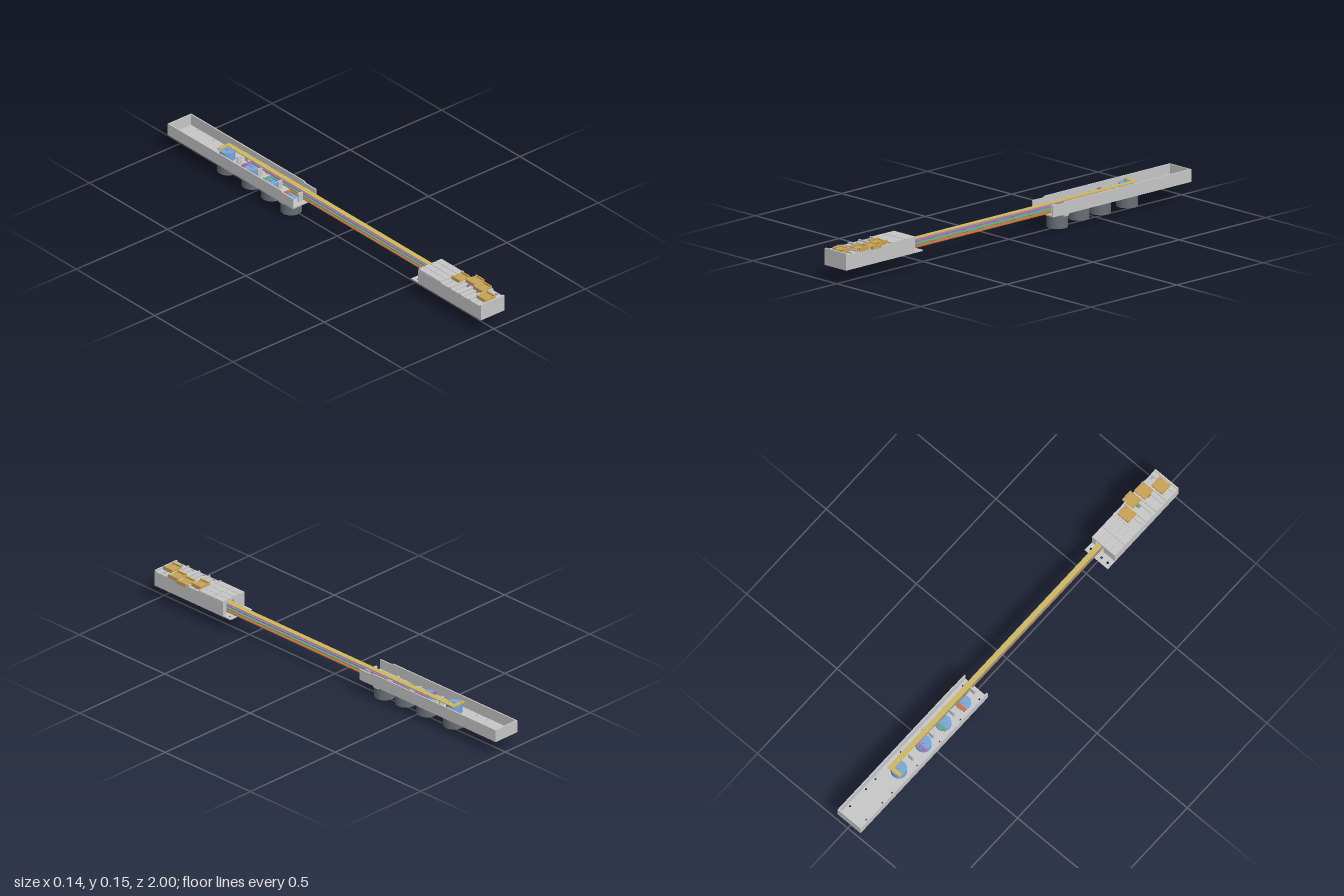
import * as THREE from 'three';

const mat = (name, color, side = THREE.FrontSide) => {
  const m = new THREE.MeshStandardMaterial({ color, side });
  m.name = name;
  return m;
};

export function createModel() {
  const root = new THREE.Group();
  root.name = 'leverMechanism';
  const grey = mat('lightGrey', 0xc6c6c6);
  const dark = mat('motorGrey', 0x686e76);
  const blue = mat('hornBlue', 0x7aa6d6);
  const gold = mat('sliderGold', 0xc9a254);
  const strips = [
    mat('stripYellow', 0xcdb75c), mat('stripPurple', 0xa070b4),
    mat('stripGreen', 0x62a880), mat('stripOrange', 0xc8703c),
  ];

  const group = (name, parent = root) => {
    const g = new THREE.Group();
    g.name = name;
    parent.add(g);
    return g;
  };
  const add = (parent, name, geo, material) => {
    const m = new THREE.Mesh(geo, material);
    m.name = name;
    parent.add(m);
    return m;
  };
  // box given by its limits along each axis
  const box = (parent, name, material, x0, x1, y0, y1, z0, z1) => {
    const m = add(parent, name, new THREE.BoxGeometry(x1 - x0, y1 - y0, z1 - z0), material);
    m.position.set((x0 + x1) / 2, (y0 + y1) / 2, (z0 + z1) / 2);
    return m;
  };
  const cyl = (parent, name, material, r, x, y0, y1, z, sides = 32) => {
    const m = add(parent, name, new THREE.CylinderGeometry(r, r, y1 - y0, sides), material);
    m.position.set(x, (y0 + y1) / 2, z);
    return m;
  };
  // flat plate with round screw holes [x, z, radius]
  const plate = (parent, name, x0, x1, y0, y1, z0, z1, holes) => {
    const s = new THREE.Shape();
    s.moveTo(x0, -z1).lineTo(x1, -z1).lineTo(x1, -z0).lineTo(x0, -z0).closePath();
    for (const [x, z, r] of holes) {
      const p = new THREE.Path();
      p.absarc(x, -z, r, 0, Math.PI * 2, true);
      s.holes.push(p);
    }
    const g = new THREE.ExtrudeGeometry(s, { depth: y1 - y0, bevelEnabled: false, curveSegments: 6 });
    g.rotateX(-Math.PI / 2).translate(0, y0, 0);
    return add(parent, name, g, grey);
  };

  const XL = -0.071, XR = 0.057, W = 0.006, B = 0.067;
  const motorZ = [-0.69, -0.535, -0.41, -0.286];
  const stripY = [0.114, 0.102, 0.089, 0.076];
  const keyZ = [0.772, 0.832, 0.894, 0.96];
  const keyX = [0.014, 0.041, 0.029, -0.009];

  // rear channel, open on top and towards the front
  const channel = group('rearChannel');
  const holes = [];
  for (const z of [-0.94, -0.84, -0.78, -0.62, -0.48, -0.35, -0.23]) {
    holes.push([-0.052, z, 0.005], [0.04, z, 0.005]);
  }
  plate(channel, 'channelFloor', XL, XR, B, B + 0.006, -1, -0.2, holes);
  box(channel, 'channelBackWall', grey, XL, XR, B + 0.006, 0.122, -1, -1 + W);
  const side = new THREE.Shape();
  side.moveTo(0.2, B + 0.006).lineTo(1 - W, B + 0.006).lineTo(1 - W, 0.122)
    .lineTo(0.275, 0.122).lineTo(0.265, 0.116).lineTo(0.2, 0.116).closePath();
  for (const x of [XL, XR - W]) {
    const g = new THREE.ExtrudeGeometry(side, { depth: W, bevelEnabled: false });
    g.rotateY(Math.PI / 2).translate(x, 0, 0);
    add(channel, 'channelSideWall', g, grey);
  }
  // guide posts beside the strips
  for (const z of [-0.615, -0.485, -0.355, -0.225]) {
    box(channel, 'guidePost', grey, -0.022, 0.002, B + 0.006, 0.112, z - 0.004, z + 0.004);
    box(channel, 'guideRail', grey, 0.029, 0.034, B + 0.006, 0.112, z - 0.012, z + 0.012);
  }

  // motors below the channel with horns and levers above it
  motorZ.forEach((z, i) => {
    const m = group('motor' + (i + 1));
    const low = i === 3;
    const y0 = low ? 0 : 0.012;
    cyl(m, 'motorBody', dark, 0.045, -0.007, y0, y0 + 0.055, z, 40);
    if (low) {
      // spacer flange with two ears
      cyl(m, 'motorSpacer', dark, 0.022, -0.007, 0.055, B, z, 24);
      for (const s of [-1, 1]) {
        box(m, 'mountEar', grey, -0.007 + s * 0.039 - 0.017, -0.007 + s * 0.039 + 0.017,
          0.055, B, z - 0.014, z + 0.014);
      }
    }
    const y = stripY[i];
    cyl(m, 'horn', blue, 0.034, -0.01, B + 0.006, Math.max(y - 0.001, B + 0.008), z, 32);
    cyl(m, 'hornHub', blue, 0.008, -0.01, y - 0.001, y + 0.006, z, 16);
    box(m, 'lever', strips[i], -0.042, 0.026, y, y + 0.004, z - 0.03, z - 0.014);
    cyl(m, 'leverPin', strips[i], 0.006, -0.03, y, y + 0.008, z - 0.022, 12);
  });

  // four stacked strips, each running from its lever to its slider
  stripY.forEach((y, i) => {
    const g = group('strip' + (i + 1));
    box(g, 'pullStrip', strips[i], 0.003, 0.026, y, y + 0.004, motorZ[i] - 0.03, keyZ[i]);
    box(g, 'stripRiser', strips[i], 0.005, 0.013, y, 0.134, keyZ[i] - 0.006, keyZ[i]);
  });

  // front housing with a tail plate towards the strips
  const housing = group('frontHousing');
  plate(housing, 'housingFloor', XL, XR, B, B + 0.005, 0.555, 1,
    [-0.052, -0.018, 0.04].map((x) => [x, 0.576, 0.006]));
  for (const x of [XL, XR - W]) {
    box(housing, 'housingSideWall', grey, x, x + W, B + 0.005, 0.133, 0.6, 1 - W);
  }
  box(housing, 'housingFrontWall', grey, XL, XR, B + 0.005, 0.133, 1 - W, 1);
  box(housing, 'housingBackWall', grey, XL + W, -0.008, B + 0.005, 0.127, 0.6, 0.6 + W);
  box(housing, 'housingBackWall', grey, 0.036, XR - W, B + 0.005, 0.127, 0.6, 0.6 + W);

  // lid: planked rear panel, then slots between raised ribs
  const lid = group('lid');
  box(lid, 'lidPanel', grey, XL + W, XR - W, 0.127, 0.133, 0.6, 0.738);
  for (let i = 0; i < 4; i++) {
    const x = XL + i * 0.032;
    for (const [a, b] of [[0.6, 0.66], [0.663, 0.735]]) {
      box(lid, 'lidPlank', grey, x + 0.001, x + 0.031, 0.133, 0.138, a, b);
    }
  }
  const ribs = [0.738, 0.802, 0.863, 0.927, 0.996];
  ribs.forEach((z, i) => {
    box(lid, 'lidRib', grey, XL, XR, 0.133, 0.14, z - 0.004, z + 0.004);
    if (i === 4) return;
    const z1 = ribs[i + 1], mid = (z + z1) / 2;
    box(lid, 'slotEdge', grey, XL + W, XR - W, 0.127, 0.133, z, mid - 0.009);
    box(lid, 'slotEdge', grey, XL + W, XR - W, 0.127, 0.133, mid + 0.009, z1 - 0.002);
    box(lid, 'slotFloor', grey, XL + W, -0.004, 0.122, 0.127, mid - 0.01, mid + 0.01);
  });

  // sliders: flat base with a raised U-shaped rim
  keyZ.forEach((z, i) => {
    const g = group('slider' + (i + 1));
    const x = keyX[i], h = 0.029, d = 0.026;
    box(g, 'sliderBase', gold, x - h, x + h, 0.133, 0.1415, z - d, z + d);
    for (const s of [-1, 1]) {
      const c = x + s * (h - 0.003);
      box(g, 'sliderRim', gold, c - 0.003, c + 0.003, 0.1415, 0.149, z - d, z + d);
      box(g, 'sliderLip', gold, x + s * 0.019 - 0.008, x + s * 0.019 + 0.008,
        0.1415, 0.1445, z + d - 0.007, z + d);
    }
    box(g, 'sliderBack', gold, x - h, x + h, 0.1415, 0.1445, z - d, z - d + 0.007);
  });

  return root;
}
